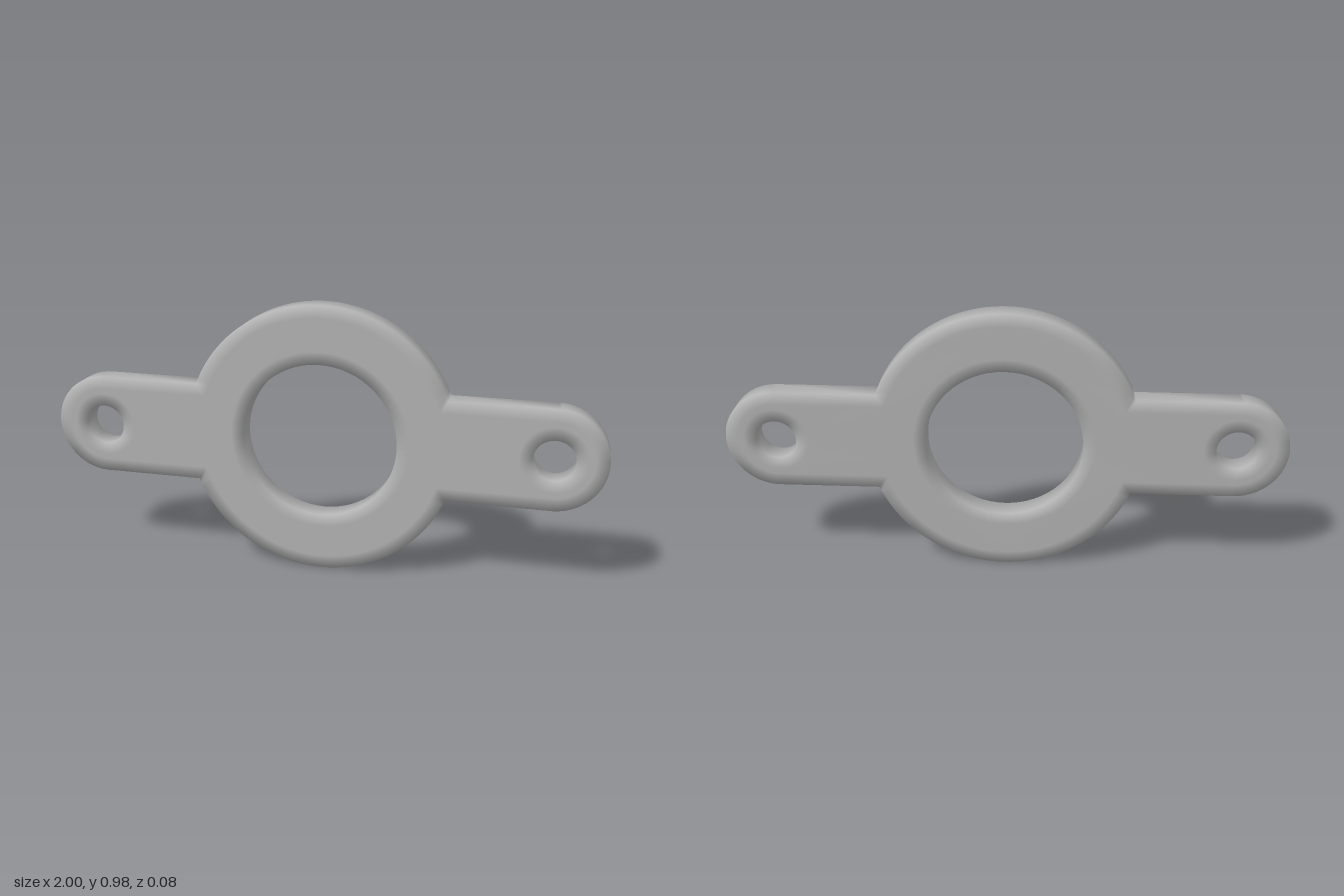
import * as THREE from 'three';
import { mergeVertices } from 'three/addons/utils/BufferGeometryUtils.js';

const RING_R = 0.489, BORE_R = 0.28, ARM_R = 0.182, EYE_X = 0.818, EYE_R = 0.072;
const THICK = 0.08, BAND = 0.045, DROP = 0.0005;

function circleHole(x, r) {
  const path = new THREE.Path();
  path.absarc(x, 0, r, 0, Math.PI * 2, true);
  return path;
}

export function createModel() {
  const group = new THREE.Group();
  const metal = new THREE.MeshStandardMaterial({ color: 0xb2b2b2 });
  metal.name = 'grey metal';

  // Outline: round body with a round-ended lug on each side
  const a = Math.asin(ARM_R / RING_R);
  const outline = new THREE.Shape();
  outline.absarc(0, 0, RING_R, a, Math.PI - a, false);
  outline.absarc(-EYE_X, 0, ARM_R, Math.PI / 2, Math.PI * 1.5, false);
  outline.absarc(0, 0, RING_R, Math.PI + a, Math.PI * 2 - a, false);
  outline.absarc(EYE_X, 0, ARM_R, -Math.PI / 2, Math.PI / 2, false);
  outline.closePath();

  // Centre bore and the two screw holes
  outline.holes.push(circleHole(0, BORE_R), circleHole(-EYE_X, EYE_R), circleHole(EYE_X, EYE_R));

  // Almost flat edge band, so the shared normals soften the rim only
  let plate = new THREE.ExtrudeGeometry(outline, {
    depth: THICK - 2 * DROP, curveSegments: 32,
    bevelEnabled: true, bevelSegments: 1, bevelThickness: DROP, bevelSize: BAND, bevelOffset: -BAND,
  });
  plate.deleteAttribute('uv');
  plate.deleteAttribute('normal');
  plate = mergeVertices(plate, 1e-5);
  plate.computeVertexNormals();
  plate.center();
  plate.translate(0, RING_R, 0);

  const mesh = new THREE.Mesh(plate, metal);
  mesh.name = 'flangePlate';
  group.add(mesh);
  return group;
}
